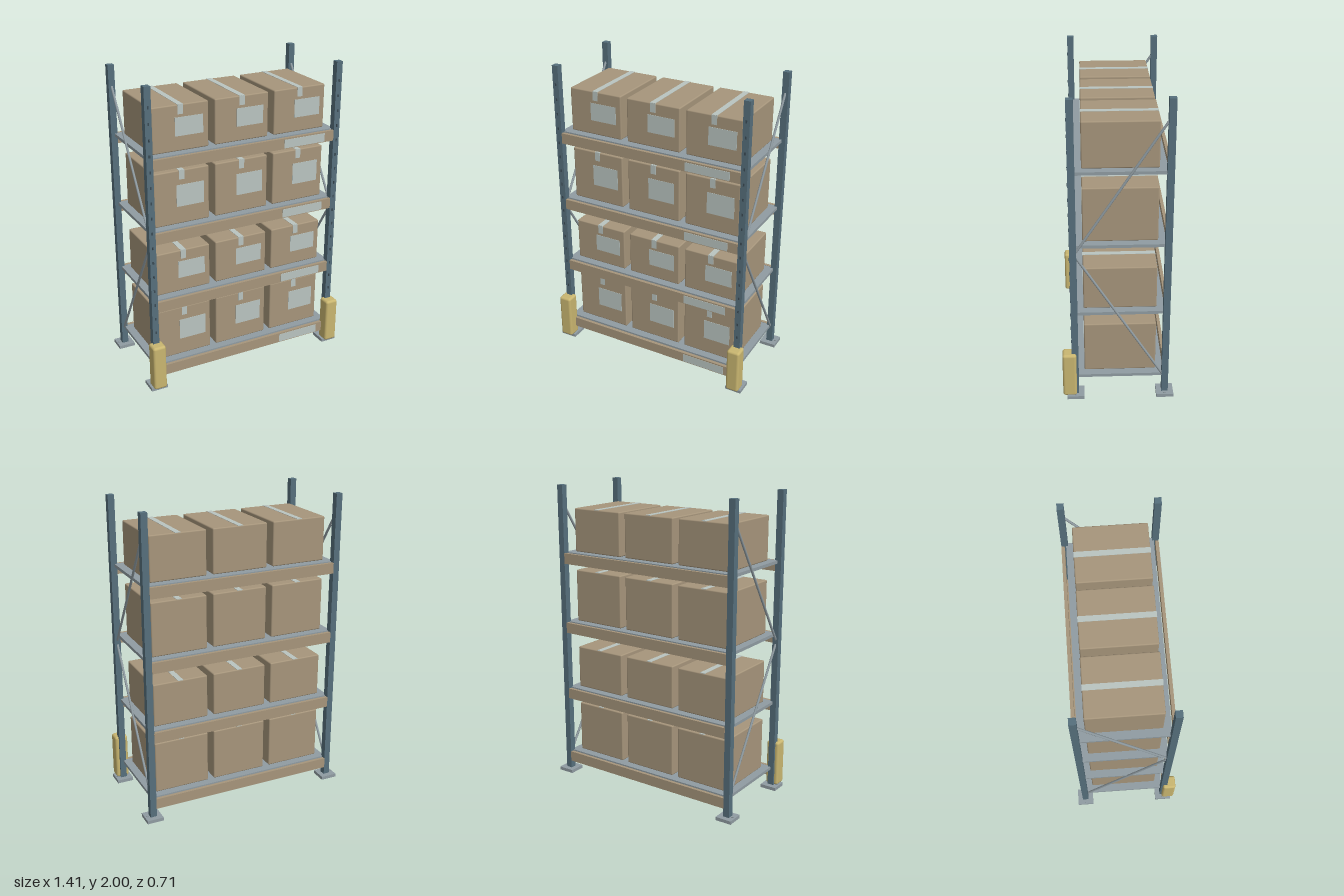
import * as THREE from 'three';
import { RoundedBoxGeometry } from 'three/addons/geometries/RoundedBoxGeometry.js';

const mat = (name, color) => {
  const m = new THREE.MeshStandardMaterial({ color });
  m.name = name;
  return m;
};

export function createModel() {
  const root = new THREE.Group();
  root.name = 'palletRack';
  const postBlue = mat('postBlue', 0x566f7c);
  const steel = mat('steelGrey', 0x909ca2);
  const dark = mat('slotDark', 0x3a4a54);
  const card = mat('cardboard', 0xa6957b);
  const paper = mat('paperLabel', 0xb9c4c0);
  const yellow = mat('guardYellow', 0xc9b670);

  const add = (parent, name, geo, material, x, y, z) => {
    const m = new THREE.Mesh(geo, material);
    m.name = name;
    m.position.set(x, y, z);
    parent.add(m);
    return m;
  };
  const box = (parent, name, material, w, h, d, x, y, z) =>
    add(parent, name, new THREE.BoxGeometry(w, h, d), material, x, y, z);

  const POST_X = 0.65, FRONT = 0.275, BACK = -0.296, MID = -0.011;

  // Round bar between two points of a side frame
  const brace = (parent, x, y1, z1, y2, z2) => {
    const a = new THREE.Vector3(x, y1, z1), b = new THREE.Vector3(x, y2, z2);
    const dir = b.clone().sub(a);
    const m = add(parent, 'brace', new THREE.CylinderGeometry(0.008, 0.008, dir.length(), 8), steel, 0, 0, 0);
    m.position.copy(a).lerp(b, 0.5);
    m.quaternion.setFromUnitVectors(new THREE.Vector3(0, 1, 0), dir.normalize());
  };

  // Side frames: posts, feet, bolts, slots, braces and front guards
  for (const s of [-1, 1]) {
    const frame = new THREE.Group();
    frame.name = s > 0 ? 'leftFrame' : 'rightFrame';
    root.add(frame);
    const x = s * POST_X;
    for (const z of [FRONT, BACK]) {
      box(frame, 'post', postBlue, 0.042, 1.98, 0.042, x, 1.01, z);
      box(frame, 'foot', steel, 0.11, 0.022, 0.11, x, 0.011, z);
      add(frame, 'footBolt', new THREE.CylinderGeometry(0.008, 0.008, 0.006, 10), steel, x + s * 0.038, 0.025, z);
    }
    for (let i = 0; i < 16; i++)
      box(frame, 'postSlot', dark, 0.009, 0.018, 0.004, x, 0.408 + i * 0.098, FRONT + 0.022);
    brace(frame, x, 1.865, BACK + 0.016, 1.04, FRONT - 0.016);
    brace(frame, x, 1.01, FRONT - 0.016, 0.145, BACK + 0.016);
    add(frame, 'guard', new RoundedBoxGeometry(0.088, 0.308, 0.088, 3, 0.016), yellow, x, 0.173, 0.311);
  }

  // Shelf levels: [deck top, carton height]
  const levels = [[0.149, 0.347], [0.617, 0.285], [1.086, 0.35], [1.559, 0.287]];
  for (const [top, h] of levels) {
    const level = new THREE.Group();
    level.name = 'shelfLevel';
    level.position.y = top;
    root.add(level);
    box(level, 'deck', steel, 1.294, 0.02, 0.552, 0, -0.01, MID);
    box(level, 'frontBeam', card, 1.26, 0.07, 0.021, 0, -0.039, 0.285);
    box(level, 'backBeam', card, 1.26, 0.07, 0.021, 0, -0.039, -0.307);
    box(level, 'beamLabel', paper, 0.298, 0.056, 0.004, 0.411, -0.041, 0.296);

    // Three cartons, each with top tape, front tape flap and label
    for (const i of [-1, 0, 1]) {
      const carton = new THREE.Group();
      carton.name = 'carton';
      carton.position.set(i * 0.413, 0, MID);
      level.add(carton);
      const half = 0.2275;
      add(carton, 'cartonBody', new RoundedBoxGeometry(0.37, h, half * 2, 2, 0.008), card, 0, h / 2, 0);
      box(carton, 'topTape', paper, 0.036, 0.004, half * 2, 0, h, 0);
      box(carton, 'frontTape', paper, 0.036, 0.06, 0.004, 0, h - 0.029, half);
      box(carton, 'label', paper, 0.185, h * 0.405, 0.004, 0.056, h * 0.53, half);
    }
  }
  return root;
}
